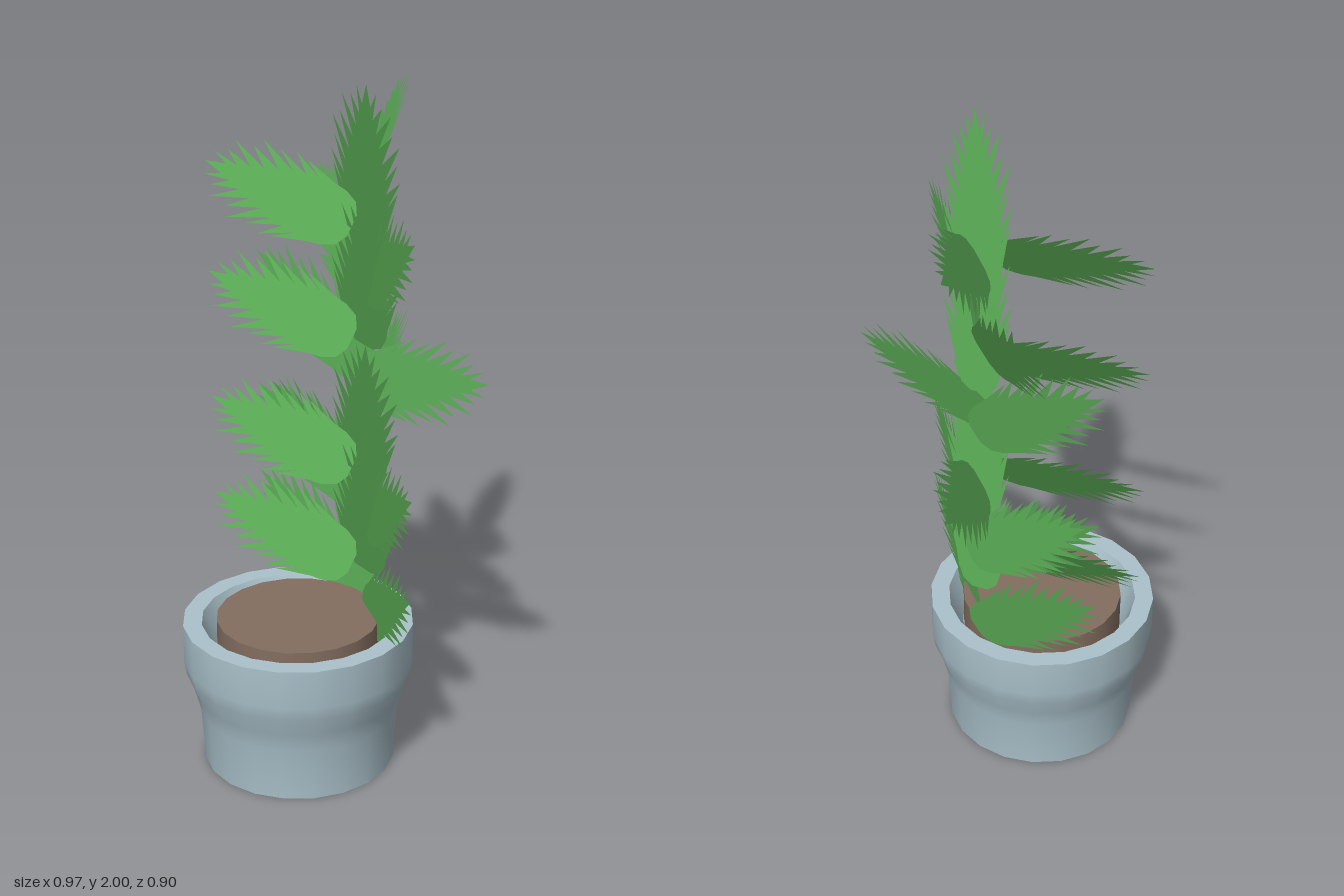
import * as THREE from 'three';
import { toCreasedNormals } from 'three/addons/utils/BufferGeometryUtils.js';

const V = (a) => new THREE.Vector3(...a);

// Flat leaf, one unit long along +x: a blunt base, then long forward-pointing teeth on both edges
function leafGeometry() {
  const base = [[0, 0.06], [0.04, 0.125], [0.12, 0.16]];
  // Each tooth: its root and its point
  const teeth = [
    [0.2, 0.172, 0.42, 0.23], [0.3, 0.161, 0.5, 0.247], [0.38, 0.15, 0.6, 0.224], [0.46, 0.138, 0.72, 0.236],
    [0.55, 0.115, 0.76, 0.184], [0.64, 0.092, 0.88, 0.172], [0.72, 0.069, 0.9, 0.109], [0.8, 0.046, 0.97, 0.069],
  ];
  const edge = [...base, ...teeth.flatMap(([a, b, c, d]) => [[a, b], [c, d]]), [0.87, 0.029]];
  const outline = [
    ...edge.map(([t, w]) => new THREE.Vector2(t, -w)),
    new THREE.Vector2(1, 0),
    ...edge.reverse().map(([t, w]) => new THREE.Vector2(t, w)),
  ];
  return new THREE.ShapeGeometry(new THREE.Shape(outline));
}

// Each kind of leaf: base and tip points, direction of its width, and drops for its repeats down the plant
const LEAVES = [
  { name: 'uprightLeaf', base: [0.05, 1.53, 0], tip: [-0.07, 2, 0.12], across: [0, 0, 1], drops: [0, 0.3, 0.71, 0.99] },
  { name: 'frontRightLeaf', base: [0.03, 1.41, 0.02], tip: [-0.175, 1.65, 0.39], across: [0.02, 1, 0], drops: [0, 0.705, 1] },
  { name: 'frontLeaf', base: [0.02, 1.13, -0.02], tip: [0.05, 1.23, 0.455], across: [0.2, 1, 0], drops: [0] },
  { name: 'upperLeftLeaf', base: [0.08, 1.67, -0.03], tip: [0.48, 1.87, -0.27], across: [0.35, 1, 0.5], drops: [0, 0.71] },
  { name: 'backLeftLeaf', base: [0.07, 1.38, -0.03], tip: [0.3, 1.63, -0.42], across: [0.1, 1, 0.9], drops: [0] },
  { name: 'backLeaf', base: [0.1, 1.13, -0.03], tip: [0.06, 1.41, -0.44], across: [0.1, 1, 0], drops: [0, 0.41, 0.69] },
  { name: 'sideLeaf', base: [0.13, 0.74, -0.03], tip: [0.095, 1, -0.42], across: [-0.13, 1, 0], drops: [0] },
  { name: 'backRightLeaf', base: [-0.04, 1.6, 0.04], tip: [-0.13, 1.71, -0.44], across: [0.5, 0.85, 0], drops: [0, 0.32, 0.7, 1] },
];

export function createModel() {
  const model = new THREE.Group();
  const potMaterial = new THREE.MeshStandardMaterial({ color: 0xabc2cb });
  const soilMaterial = new THREE.MeshStandardMaterial({ color: 0x846e60 });
  const leafMaterial = new THREE.MeshStandardMaterial({ color: 0x58a853, side: THREE.DoubleSide });

  // Pot with a flared collar and a sloping inside wall
  const profile = [[0, 0], [0.277, 0], [0.287, 0.16], [0.302, 0.22], [0.325, 0.28], [0.332, 0.32],
    [0.332, 0.435], [0.278, 0.435], [0.237, 0.32], [0, 0.32]].map(([r, y]) => new THREE.Vector2(r, y));
  const pot = new THREE.Mesh(toCreasedNormals(new THREE.LatheGeometry(profile, 20), 0.6), potMaterial);
  pot.name = 'pot';
  pot.position.set(-0.154, 0, -0.065);
  model.add(pot);

  // Raised plug of soil
  const soil = new THREE.Mesh(new THREE.CylinderGeometry(0.235, 0.235, 0.125, 20), soilMaterial);
  soil.name = 'soil';
  soil.position.set(-0.154, 0.38, -0.065);
  model.add(soil);

  // Leaves, each laid from base to tip
  const foliage = new THREE.Group();
  foliage.name = 'foliage';
  const geometry = leafGeometry();
  for (const { name, base, tip, across, drops } of LEAVES) {
    const along = V(tip).sub(V(base));
    const length = along.length();
    along.normalize();
    const normal = new THREE.Vector3().crossVectors(along, V(across)).normalize();
    const width = new THREE.Vector3().crossVectors(normal, along);
    for (const drop of drops) {
      const leaf = new THREE.Mesh(geometry, leafMaterial);
      leaf.name = name;
      leaf.quaternion.setFromRotationMatrix(new THREE.Matrix4().makeBasis(along, width, normal));
      leaf.scale.setScalar(length);
      leaf.position.set(base[0], base[1] - drop, base[2]);
      foliage.add(leaf);
    }
  }
  model.add(foliage);
  return model;
}
